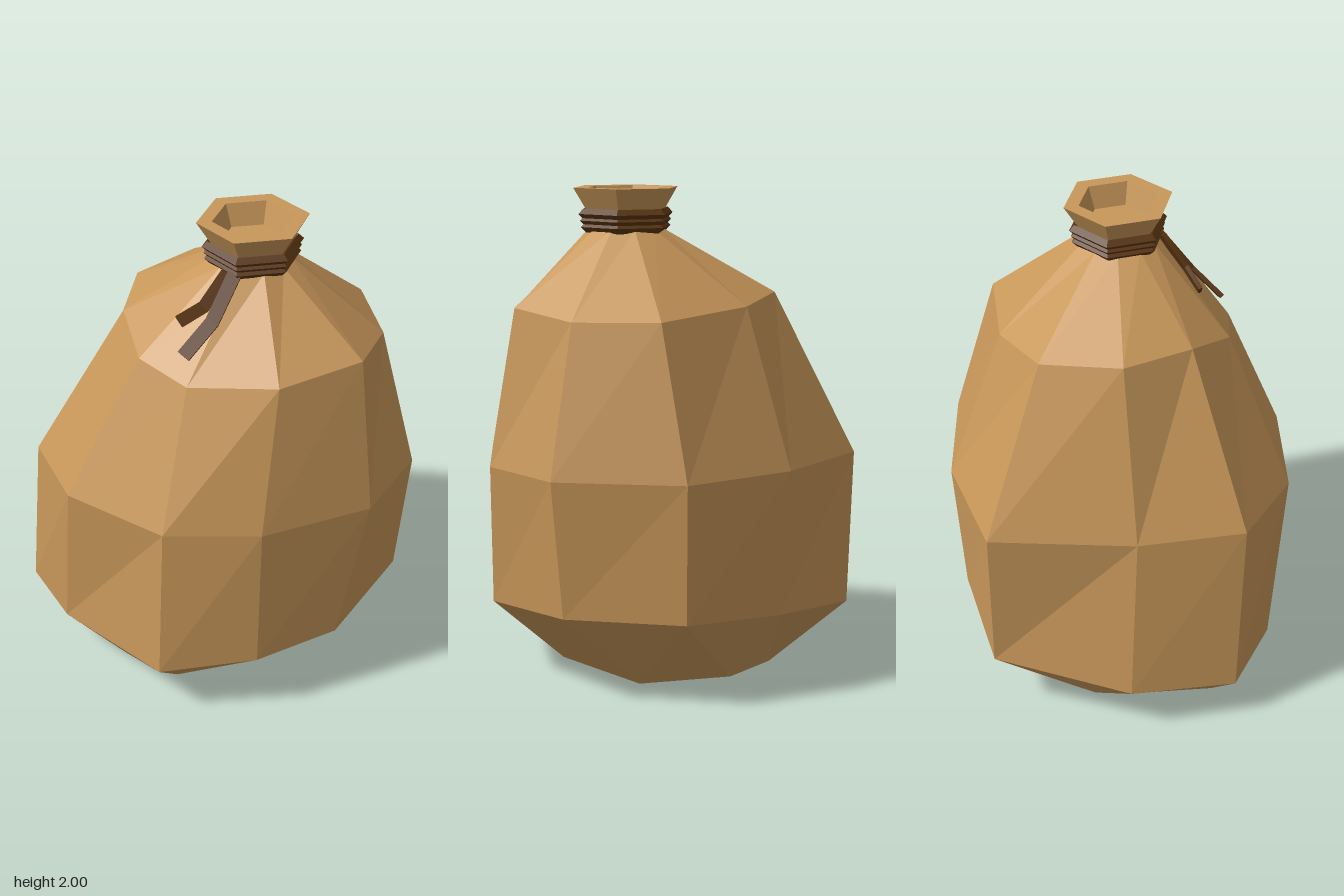
import * as THREE from 'three';

const V = (x, y, z) => new THREE.Vector3(x, y, z);
const NECK = { x: 0.135, z: 0.02 };

// Skin between cross-sections, flat shaded, with optional end caps
function loft(rings, capStart, capEnd) {
  const pos = [];
  const tri = (...pts) => pts.forEach(p => pos.push(p.x, p.y, p.z));
  const n = rings[0].length;
  for (let r = 0; r + 1 < rings.length; r++) {
    const a = rings[r], b = rings[r + 1];
    for (let i = 0; i < n; i++) {
      const j = (i + 1) % n;
      tri(a[i], a[j], b[j]);
      tri(a[i], b[j], b[i]);
    }
  }
  const first = rings[0], last = rings[rings.length - 1];
  for (let i = 1; i + 1 < n; i++) {
    if (capStart) tri(first[0], first[i + 1], first[i]);
    if (capEnd) tri(last[0], last[i], last[i + 1]);
  }
  const g = new THREE.BufferGeometry();
  g.setAttribute('position', new THREE.Float32BufferAttribute(pos, 3));
  g.computeVertexNormals();
  return g;
}

// Regular ring around the neck axis, first corner at the front
function neckRing(sides, radius, y) {
  return Array.from({ length: sides }, (_, i) => {
    const a = i / sides * Math.PI * 2;
    return V(NECK.x + Math.sin(a) * radius, y, NECK.z + Math.cos(a) * radius);
  });
}

// Flat ribbon along a path
function ribbon(path, side, width, thickness) {
  const rings = path.map((p, i) => {
    const t = path[Math.min(i + 1, path.length - 1)].clone().sub(path[Math.max(i - 1, 0)]).normalize();
    const w = side.clone().addScaledVector(t, -side.dot(t)).normalize();
    const n = t.clone().cross(w);
    return [[1, 1], [-1, 1], [-1, -1], [1, -1]].map(([u, v]) =>
      p.clone().addScaledVector(w, u * width / 2).addScaledVector(n, v * thickness / 2));
  });
  return loft(rings, true, true);
}

export function createModel() {
  const group = new THREE.Group();
  const cloth = new THREE.MeshStandardMaterial({ color: 0xc8975a });
  cloth.name = 'tan cloth';
  const rope = new THREE.MeshStandardMaterial({ color: 0x5a3510 });
  rope.name = 'dark brown cord';
  const add = (name, geometry, material) => {
    const mesh = new THREE.Mesh(geometry, material);
    mesh.name = name;
    group.add(mesh);
    return mesh;
  };

  // Slumped ten-sided body: corners run from the front towards +x
  const base = [[-0.03, 0.48], [0.12, 0.37], [0.27, 0.26], [0.34, -0.22], [0.03, -0.45],
    [-0.24, -0.45], [-0.5, -0.28], [-0.57, -0.04], [-0.62, 0.2], [-0.3, 0.42]].map(([x, z]) => V(x, 0, z));
  const low = [[-0.01, 0.735], [0.36, 0.575], [0.62, 0.33], [0.735, -0.16], [0.5, -0.59],
    [0.03, -0.7], [-0.45, -0.7], [-0.76, -0.2], [-0.8, 0.24], [-0.54, 0.48]]
    .map(([x, z]) => V(x, 0.27 + 0.097 * x - 0.0535 * z, z));
  const middle = [[0, 0.695], [0.37, 0.565], [0.72, 0.24], [0.79, -0.15], [0.51, -0.6],
    [0.03, -0.74], [-0.47, -0.71], [-0.67, -0.15], [-0.72, 0.29], [-0.46, 0.57]].map(([x, z]) => V(x, 0.905, z));
  const shoulder = [[0.02, 1.46, 0.46], [0.38, 1.5, 0.41], [0.64, 1.54, 0.17], [0.64, 1.505, -0.13],
    [0.46, 1.51, -0.43], [0.02, 1.54, -0.51], [-0.28, 1.57, -0.43], [-0.42, 1.58, -0.13],
    [-0.36, 1.575, 0.17], [-0.21, 1.5, 0.38]].map(p => V(...p));
  add('sackBody', loft([base, low, middle, shoulder, neckRing(10, 0.15, 1.835)], true, true), cloth);

  // Flared mouth with a thick rim and a shallow hollow
  add('sackMouth', loft([[0.15, 1.82], [0.145, 1.87], [0.225, 2], [0.163, 2], [0.13, 1.91]]
    .map(([r, y]) => neckRing(6, r, y)), false, true), cloth);

  // Cord wound three times around the neck
  [[0.182, 1.895], [0.175, 1.868], [0.172, 1.842]].forEach(([r, y], i) => {
    const coil = new THREE.TorusGeometry(r, 0.022, 4, 6).rotateZ(Math.PI / 6).rotateX(Math.PI / 2).toNonIndexed();
    coil.computeVertexNormals();
    add('cordCoil' + (i + 1), coil, rope).position.set(NECK.x, y, NECK.z);
  });

  // Loose cord ends hanging at the front
  add('cordEndShort', ribbon([V(0.09, 1.84, 0.19), V(0.02, 1.715, 0.265), V(-0.07, 1.65, 0.3)],
    V(0.8, -0.6, 0), 0.05, 0.018), rope);
  add('cordEndLong', ribbon([V(0.12, 1.84, 0.19), V(0.07, 1.68, 0.31), V(-0.01, 1.57, 0.415)],
    V(0.95, -0.3, 0), 0.055, 0.018), rope);

  return group;
}
